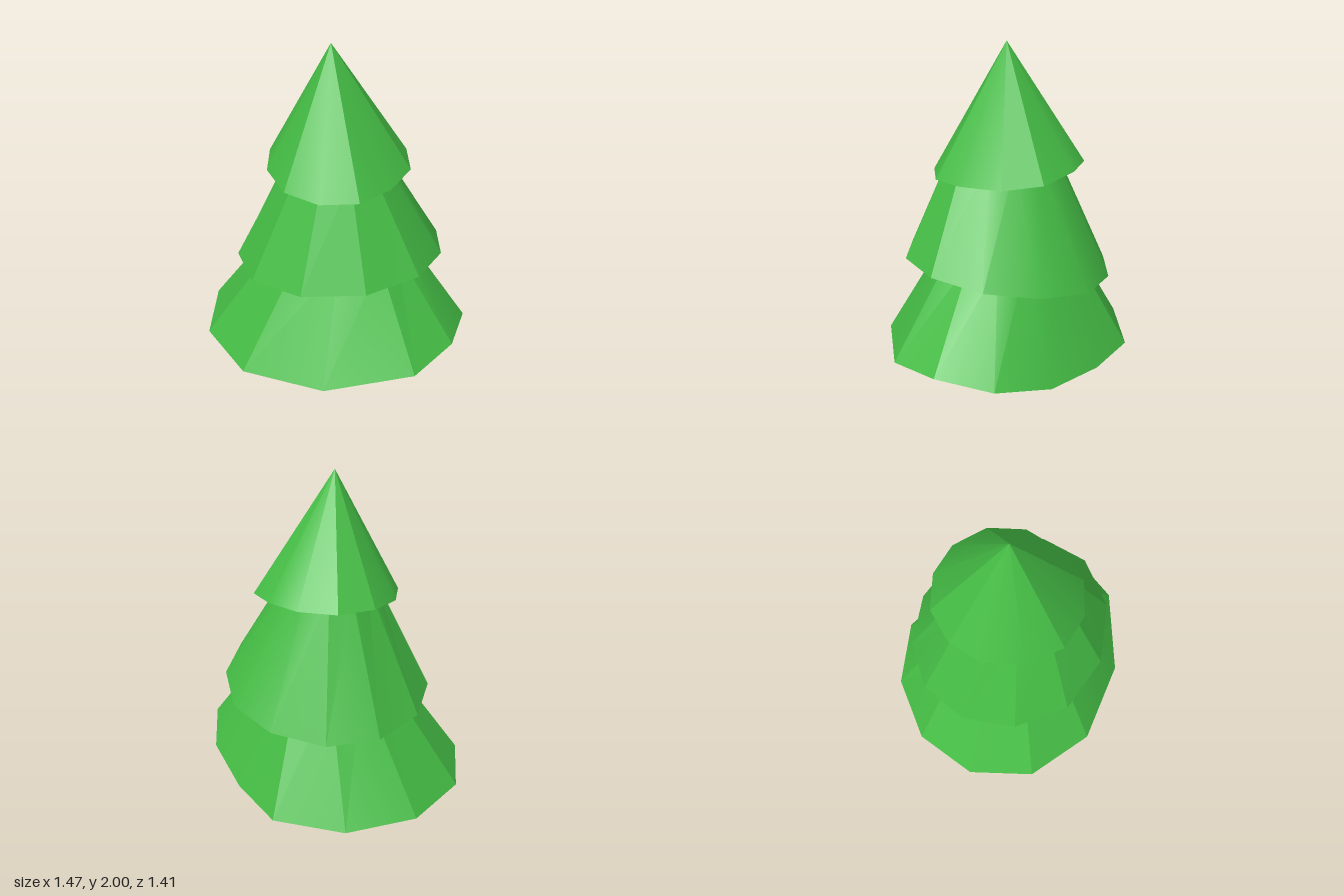
import * as THREE from 'three';
import { toCreasedNormals } from 'three/addons/utils/BufferGeometryUtils.js';

// Each rim is a hand-cut, tilted 12-gon: [x, y, z], starting at the back
const LOW_RIM = [
  [-0.035, 0.32, -0.71], [0.34, 0.325, -0.61], [0.54, 0.345, -0.345], [0.705, 0.395, -0.025],
  [0.73, 0.455, 0.28], [0.575, 0.485, 0.545], [0.325, 0.445, 0.705], [-0.15, 0.375, 0.665],
  [-0.555, 0.335, 0.415], [-0.735, 0.32, 0.04], [-0.67, 0.32, -0.335], [-0.41, 0.32, -0.61],
];
const MID_RIM = [
  [0.06, 0.755, -0.57], [0.34, 0.78, -0.475], [0.545, 0.815, -0.265], [0.615, 0.87, 0.01],
  [0.555, 0.91, 0.285], [0.37, 0.935, 0.5], [0.08, 0.915, 0.58], [-0.235, 0.875, 0.49],
  [-0.465, 0.835, 0.265], [-0.525, 0.805, -0.04], [-0.43, 0.78, -0.325], [-0.215, 0.76, -0.52],
];
const TOP_RIM = [
  [-0.005, 1.395, -0.4], [0.19, 1.4, -0.365], [0.335, 1.4, -0.25], [0.425, 1.375, -0.06],
  [0.395, 1.36, 0.145], [0.25, 1.35, 0.315], [0.075, 1.335, 0.4], [-0.12, 1.33, 0.37],
  [-0.275, 1.34, 0.24], [-0.34, 1.36, 0.03], [-0.305, 1.375, -0.175], [-0.19, 1.39, -0.325],
];

// Skins a stack of equal-length rings, bottom to top, dropping collapsed triangles
function loft(rings) {
  const pos = [];
  const tri = (...pts) => {
    const [a, b, c] = pts.map((p) => new THREE.Vector3(...p));
    if (b.clone().sub(a).cross(c.clone().sub(a)).length() > 1e-7) pos.push(...pts.flat());
  };
  for (let r = 0; r < rings.length - 1; r++) {
    const lo = rings[r], up = rings[r + 1];
    for (let i = 0; i < lo.length; i++) {
      const j = (i + 1) % lo.length;
      tri(lo[j], lo[i], up[i]);
      tri(lo[j], up[i], up[j]);
    }
  }
  const g = new THREE.BufferGeometry();
  g.setAttribute('position', new THREE.Float32BufferAttribute(pos, 3));
  return toCreasedNormals(g, 0.45);
}

// A bough tier: hollowed underside, rim, sloping skirt and closed top
function tierGeometry(rim, recess, shoulder, tip) {
  const n = rim.length;
  const inner = rim.map(([x, y, z]) => [x * 0.6, y + recess, z * 0.6]);
  const centre = [0, 1, 2].map((k) => inner.reduce((s, p) => s + p[k], 0) / n);
  const rings = [rim.map(() => centre), inner, rim];
  if (shoulder) {
    const { y, sx, sz, dx, dz } = shoulder;
    rings.push(rim.map((p) => [p[0] * sx + dx, y, p[2] * sz + dz]));
  }
  rings.push(rim.map(() => tip));
  return loft(rings);
}

export function createModel() {
  const tree = new THREE.Group();
  tree.name = 'pineTree';
  const green = new THREE.MeshStandardMaterial({ color: 0x44bb44 });
  const brown = new THREE.MeshStandardMaterial({ color: 0x7a4a32 });

  const add = (name, geometry, material) => {
    const mesh = new THREE.Mesh(geometry, material);
    mesh.name = name;
    tree.add(mesh);
    return mesh;
  };

  // Trunk, slightly off centre
  add('trunk', new THREE.CylinderGeometry(0.18, 0.18, 0.56, 10), brown).position.set(-0.01, 0.28, 0.035);

  // Boughs; the shoulders of the lower two are tucked into the tier above
  add('lowerBoughs', tierGeometry(LOW_RIM, 0.11,
    { y: 0.95, sx: 0.45, sz: 0.5, dx: 0.05, dz: 0.02 }, [0.05, 0.98, 0.02]), green);
  add('middleBoughs', tierGeometry(MID_RIM, 0.1,
    { y: 1.44, sx: 0.41, sz: 0.5, dx: 0.01, dz: 0.03 }, [0.02, 1.47, 0.02]), green);
  add('topBoughs', tierGeometry(TOP_RIM, 0.08, null, [0, 2, 0]), green);

  return tree;
}
